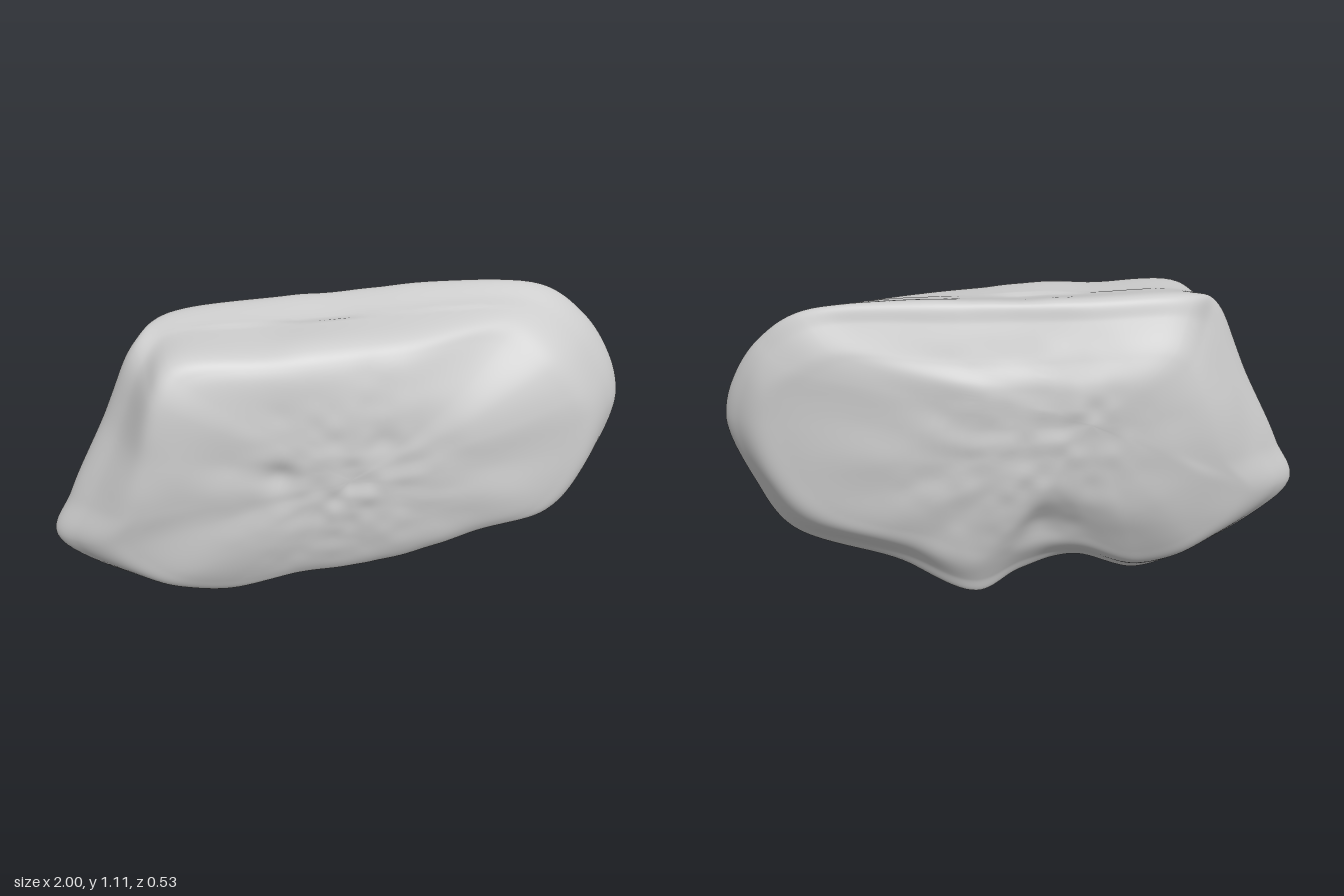
import * as THREE from 'three';
import { mergeVertices } from 'three/addons/utils/BufferGeometryUtils.js';

// Three matching loops of control points, counter-clockwise from the right tip.
const FRONT_RIM = [
  [0.85, 0.66, 0.17], [0.8, 0.8, 0.17], [0.71, 0.92, 0.15], [0.57, 1.03, 0.08], [0.2, 1.055, 0.17],
  [-0.2, 1.06, 0.205], [-0.57, 1.05, 0.2], [-0.63, 0.95, 0.235], [-0.69, 0.72, 0.25], [-0.75, 0.52, 0.235],
  [-0.82, 0.37, 0.2], [-0.64, 0.2, 0.215], [-0.42, 0.13, 0.185], [-0.2, 0.16, 0.2], [0, 0.17, 0.2],
  [0.2, 0.2, 0.205], [0.45, 0.28, 0.215], [0.7, 0.34, 0.205], [0.82, 0.48, 0.185],
];
const OUTLINE = [
  [1, 0.68, -0.01], [0.95, 0.86, -0.04], [0.87, 0.98, -0.07], [0.72, 1.085, -0.11], [0.2, 1.11, -0.145],
  [-0.2, 1.1, -0.145], [-0.58, 1.09, -0.1], [-0.68, 1.04, -0.02], [-0.81, 0.76, 0], [-0.94, 0.49, 0.02],
  [-1, 0.33, 0.03], [-0.7, 0.1, 0.03], [-0.44, 0.005, 0.02], [-0.2, 0.09, -0.02], [0, 0.08, -0.08],
  [0.16, 0.03, -0.14], [0.42, 0.14, -0.09], [0.8, 0.26, -0.01], [0.92, 0.45, 0],
];
const BACK_RIM = [
  [0.88, 0.68, -0.155], [0.85, 0.82, -0.16], [0.76, 0.91, -0.18], [0.62, 0.97, -0.195], [0.2, 0.94, -0.21],
  [-0.2, 0.94, -0.215], [-0.5, 0.93, -0.22], [-0.57, 0.87, -0.22], [-0.63, 0.74, -0.22], [-0.71, 0.52, -0.19],
  [-0.82, 0.35, -0.13], [-0.62, 0.18, -0.16], [-0.42, 0.11, -0.14], [-0.2, 0.2, -0.16], [-0.02, 0.22, -0.175],
  [0.16, 0.18, -0.205], [0.4, 0.27, -0.21], [0.71, 0.37, -0.185], [0.83, 0.5, -0.165],
];
const FRONT_CENTRE = new THREE.Vector3(0, 0.6, 0.26);
const BACK_CENTRE = new THREE.Vector3(-0.22, 0.71, -0.265);
const AROUND = 228, ACROSS = 144;

// Smooth seeded value noise in the range -1..1
function hash(x, y, z) {
  const s = Math.sin(x * 127.1 + y * 311.7 + z * 74.7) * 43758.5453;
  return (s - Math.floor(s)) * 2 - 1;
}
function noise(x, y, z) {
  const [i, j, k] = [x, y, z].map(Math.floor);
  const [a, b, c] = [x - i, y - j, z - k].map((t) => t * t * (3 - 2 * t));
  let sum = 0;
  for (let n = 0; n < 8; n++) {
    const dx = n & 1, dy = (n >> 1) & 1, dz = n >> 2;
    sum += hash(i + dx, j + dy, k + dz) * (dx ? a : 1 - a) * (dy ? b : 1 - b) * (dz ? c : 1 - c);
  }
  return sum;
}
const dent = (p, x, y, size) => Math.exp(-((p.x - x) ** 2 + (p.y - y) ** 2) / (size * size));

// Height of the weathering: grooves fanning from the middle, a pitted centre, a chipped lower back
function relief(p) {
  const dx = p.x, dy = p.y - 0.6, r = Math.hypot(dx, dy) || 1e-6;
  const side = p.z > 0 ? 0 : 9;
  const fan = noise((dx / r) * 4 + 20, (dy / r) * 4 + side, r * 1.5);
  const fanWindow = THREE.MathUtils.smoothstep(r, 0.1, 0.35) * (1 - THREE.MathUtils.smoothstep(r, 0.45, 0.85));
  const pits = noise(p.x * 17, p.y * 17, p.z * 6 + side) * Math.exp(-(r * r) / 0.08);
  let h = 0.008 * fan * fanWindow + 0.009 * pits + 0.003 * noise(p.x * 7, p.y * 7, p.z * 7);
  if (p.z > 0.1) h -= 0.022 * dent(p, -0.24, 0.63, 0.06) + 0.012 * dent(p, 0.1, 0.74, 0.06);
  if (p.z < -0.08) h -= 0.025 * dent(p, -0.08, 0.31, 0.1);
  return h;
}

// Point on a broad face between its centre and its rim; z leaves the centre level
function facePoint(centre, rim, out, fall) {
  const p = centre.clone().lerp(rim, out);
  p.z = THREE.MathUtils.lerp(centre.z, rim.z, fall);
  return p;
}

// Cross-section from front to back, with eased rims and fuller left and right ends
function sectionCurve(front, edge, back) {
  const half = (centre, rim) => {
    const mid = facePoint(centre, rim, 0.6, 0.25);
    const shoulder = rim.clone().lerp(edge, 0.62);
    shoulder.z += Math.sign(centre.z) * 0.018 * THREE.MathUtils.smoothstep(Math.abs(edge.x), 0.6, 0.9);
    return [centre, facePoint(centre, rim, 0.25, 0.04), mid,
      mid.clone().lerp(rim, 0.78), rim.clone().lerp(edge, 0.1), shoulder];
  };
  const points = [...half(FRONT_CENTRE, front), edge, ...half(BACK_CENTRE, back).reverse()];
  return new THREE.CatmullRomCurve3(points, false, 'centripetal');
}

// Lofts one skin from the front centre, over the three loops, to the back centre
function rockGeometry() {
  const loops = [FRONT_RIM, OUTLINE, BACK_RIM].map(
    (pts) => new THREE.CatmullRomCurve3(pts.map((p) => new THREE.Vector3(...p)), true, 'centripetal'));
  const positions = [], index = [];
  for (let u = 0; u < AROUND; u++) {
    const section = sectionCurve(...loops.map((c) => c.getPoint(u / AROUND)));
    for (let v = 0; v <= ACROSS; v++) positions.push(...section.getPoint(v / ACROSS).toArray());
  }
  const row = ACROSS + 1;
  for (let u = 0; u < AROUND; u++) {
    const a = u * row, b = ((u + 1) % AROUND) * row;
    for (let v = 0; v < ACROSS; v++) {
      if (v < ACROSS - 1) index.push(a + v, a + v + 1, b + v + 1);
      if (v > 0) index.push(a + v, b + v + 1, b + v);
    }
  }
  let geometry = new THREE.BufferGeometry();
  geometry.setAttribute('position', new THREE.Float32BufferAttribute(positions, 3));
  geometry.setIndex(index);
  geometry = mergeVertices(geometry, 1e-5);
  geometry.computeVertexNormals();

  // Push the skin along its normals by the relief
  const pos = geometry.attributes.position, nor = geometry.attributes.normal;
  const p = new THREE.Vector3(), n = new THREE.Vector3();
  for (let i = 0; i < pos.count; i++) {
    p.fromBufferAttribute(pos, i);
    n.fromBufferAttribute(nor, i);
    p.addScaledVector(n, relief(p));
    pos.setXYZ(i, p.x, p.y, p.z);
  }

  // Rest it on the ground
  geometry.computeBoundingBox();
  geometry.translate(0, -geometry.boundingBox.min.y, 0);
  geometry.computeVertexNormals();
  return geometry;
}

export function createModel() {
  const stone = new THREE.MeshStandardMaterial({ color: 0xcccccc });
  stone.name = 'stone grey';
  const rock = new THREE.Mesh(rockGeometry(), stone);
  rock.name = 'rock';
  const group = new THREE.Group();
  group.name = 'boulder';
  group.add(rock);
  return group;
}
